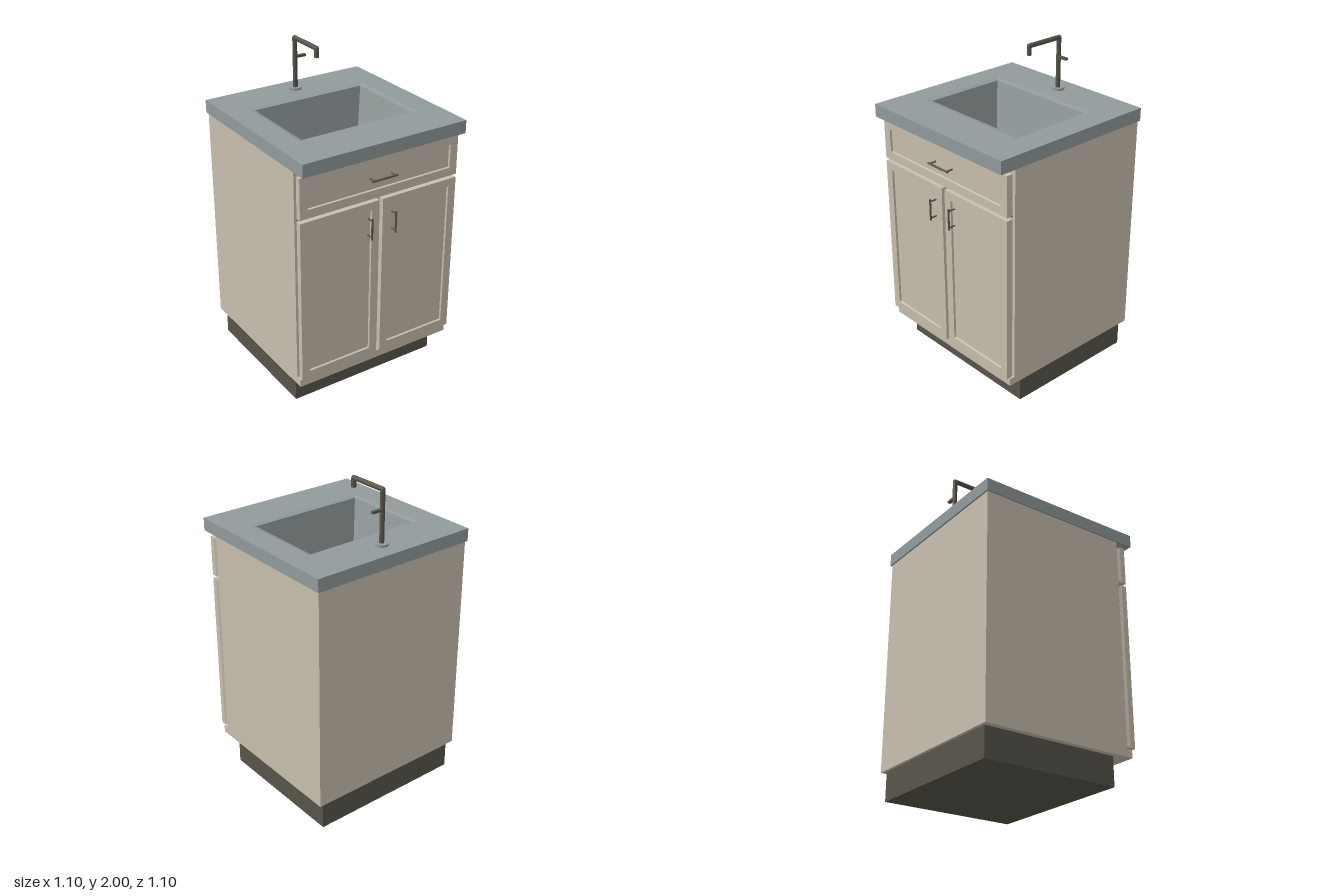
import * as THREE from 'three';

const mat = (name, color) => {
  const m = new THREE.MeshStandardMaterial({ color });
  m.name = name;
  return m;
};

// Flat-faced loft through rectangles [x0, x1, y0, y1, z], optionally capped
function rectLoft(rings, startCap, endCap) {
  const pos = [];
  const corners = ([x0, x1, y0, y1, z]) => [[x0, y0, z], [x1, y0, z], [x1, y1, z], [x0, y1, z]];
  const quad = (a, b, c, d) => pos.push(...a, ...b, ...c, ...a, ...c, ...d);
  const loops = rings.map(corners);
  for (let k = 0; k < loops.length - 1; k++) {
    for (let i = 0; i < 4; i++) {
      const j = (i + 1) % 4;
      quad(loops[k][i], loops[k][j], loops[k + 1][j], loops[k + 1][i]);
    }
  }
  if (startCap) quad(...[...loops[0]].reverse());
  if (endCap) quad(...loops[loops.length - 1]);
  const g = new THREE.BufferGeometry();
  g.setAttribute('position', new THREE.Float32BufferAttribute(pos, 3));
  g.computeVertexNormals();
  return g;
}

export function createModel() {
  const root = new THREE.Group();
  root.name = 'sinkCabinet';
  const cream = mat('cream paint', 0xc8bfae);
  const stone = mat('grey stone', 0x929b9c);
  const metal = mat('dark bronze', 0x58544a);
  const shadowGap = mat('dark gap', 0x4a3c36);
  const pale = mat('pale drain', 0xd6d0c2);

  const add = (name, geo, material, x = 0, y = 0, z = 0, parent = root) => {
    const m = new THREE.Mesh(geo, material);
    m.name = name;
    m.position.set(x, y, z);
    parent.add(m);
    return m;
  };
  const box = (name, material, w, h, d, x, y, z, parent) =>
    add(name, new THREE.BoxGeometry(w, h, d), material, x, y, z, parent);
  // Cylinder between two points
  const rod = (name, material, r, from, to, parent, seg = 12) => {
    const a = new THREE.Vector3(...from), b = new THREE.Vector3(...to);
    const dir = b.clone().sub(a);
    const m = add(name, new THREE.CylinderGeometry(r, r, dir.length(), seg), material, 0, 0, 0, parent);
    m.position.copy(a).add(b).multiplyScalar(0.5);
    m.quaternion.setFromUnitVectors(new THREE.Vector3(0, 1, 0), dir.normalize());
  };
  const sym = (x, y, z) => [-x, x, -y, y, z];

  // Toe kick and carcass, open above so the basin can hang inside
  box('toeKick', metal, 1.01, 0.18, 0.88, 0, 0.09, -0.08);
  add('carcass', rectLoft([
    [-0.54, 0.54, -0.44, 0.54, 0.18],
    [-0.54, 0.54, -0.44, 0.54, 1.58],
    sym(0.4, 0.29, 1.58),
  ], true, false).rotateX(-Math.PI / 2), cream);
  box('bottomRail', cream, 1.08, 0.05, 0.04, 0, 0.205, 0.455);
  box('frontGap', shadowGap, 1.04, 0.012, 0.008, 0, 1.29, 0.443);

  // Countertop with a shallow bevelled rim and tapered basin
  const floorY = 1.36;
  add('countertopAndBasin', rectLoft([
    sym(0.4, 0.29, 1.58),
    sym(0.55, 0.55, 1.58),
    sym(0.55, 0.55, 1.66),
    sym(0.4, 0.29, 1.66),
    sym(0.375, 0.26, 1.652),
    sym(0.322, 0.207, floorY),
  ], false, true).rotateX(-Math.PI / 2), stone);

  // Drain with slotted grate
  const drain = new THREE.Group();
  drain.name = 'drain';
  root.add(drain);
  add('drainRing', new THREE.CylinderGeometry(0.042, 0.042, 0.008, 32), metal, 0, floorY + 0.004, 0, drain);
  add('drainPlate', new THREE.CylinderGeometry(0.026, 0.026, 0.004, 24), pale, 0, floorY + 0.009, 0, drain);
  for (const x of [-0.011, 0, 0.011]) {
    box('drainSlot', metal, 0.004, 0.003, x ? 0.036 : 0.044, x, floorY + 0.011, 0, drain);
  }

  // Drawer and door fronts: narrowed back edge, recessed centre panel
  const front = (name, x0, x1, y0, y1) => {
    const ring = (d, z) => [x0 + d, x1 - d, y0 + d, y1 - d, z];
    add(name, rectLoft([
      ring(0.01, 0.45), ring(0, 0.465), ring(0, 0.5), ring(0.052, 0.5), ring(0.055, 0.488),
    ], true, true), cream);
  };
  front('drawerFront', -0.54, 0.54, 1.305, 1.555);
  front('rightDoor', -0.54, -0.012, 0.24, 1.285);
  front('leftDoor', 0.012, 0.54, 0.24, 1.285);

  // Bar pulls on two posts
  const pull = (name, length, x, y, vertical) => {
    const g = new THREE.Group();
    g.name = name;
    g.position.set(x, y, 0);
    if (vertical) g.rotation.z = Math.PI / 2;
    root.add(g);
    rod('pullBar', metal, 0.006, [-length / 2, 0, 0.532], [length / 2, 0, 0.532], g);
    for (const s of [-1, 1]) {
      const px = s * (length / 2 - 0.014);
      rod('pullPost', metal, 0.005, [px, 0, 0.486], [px, 0, 0.532], g);
    }
  };
  pull('drawerPull', 0.175, 0, 1.43, false);
  pull('rightDoorPull', 0.135, -0.083, 1.13, true);
  pull('leftDoorPull', 0.135, 0.083, 1.13, true);

  // Faucet: base plate, post, arm, spout and side lever
  const faucet = new THREE.Group();
  faucet.name = 'faucet';
  root.add(faucet);
  const r = 0.0145, armY = 2 - r, backZ = -0.418, spoutZ = -0.173;
  add('faucetBase', new THREE.CylinderGeometry(0.039, 0.039, 0.014, 32), stone, 0, 1.667, -0.42, faucet);
  rod('faucetPost', metal, r, [0, 1.66, backZ], [0, armY, backZ], faucet);
  rod('faucetArm', metal, r, [0, armY, backZ], [0, armY, spoutZ], faucet);
  rod('faucetSpout', metal, r, [0, armY, spoutZ], [0, 1.93, spoutZ], faucet);
  for (const z of [backZ, spoutZ]) {
    add('faucetElbow', new THREE.SphereGeometry(r, 12, 8), metal, 0, armY, z, faucet);
  }
  box('faucetLever', metal, 0.07, 0.014, 0.02, 0.037, 1.867, -0.415, faucet);

  return root;
}
